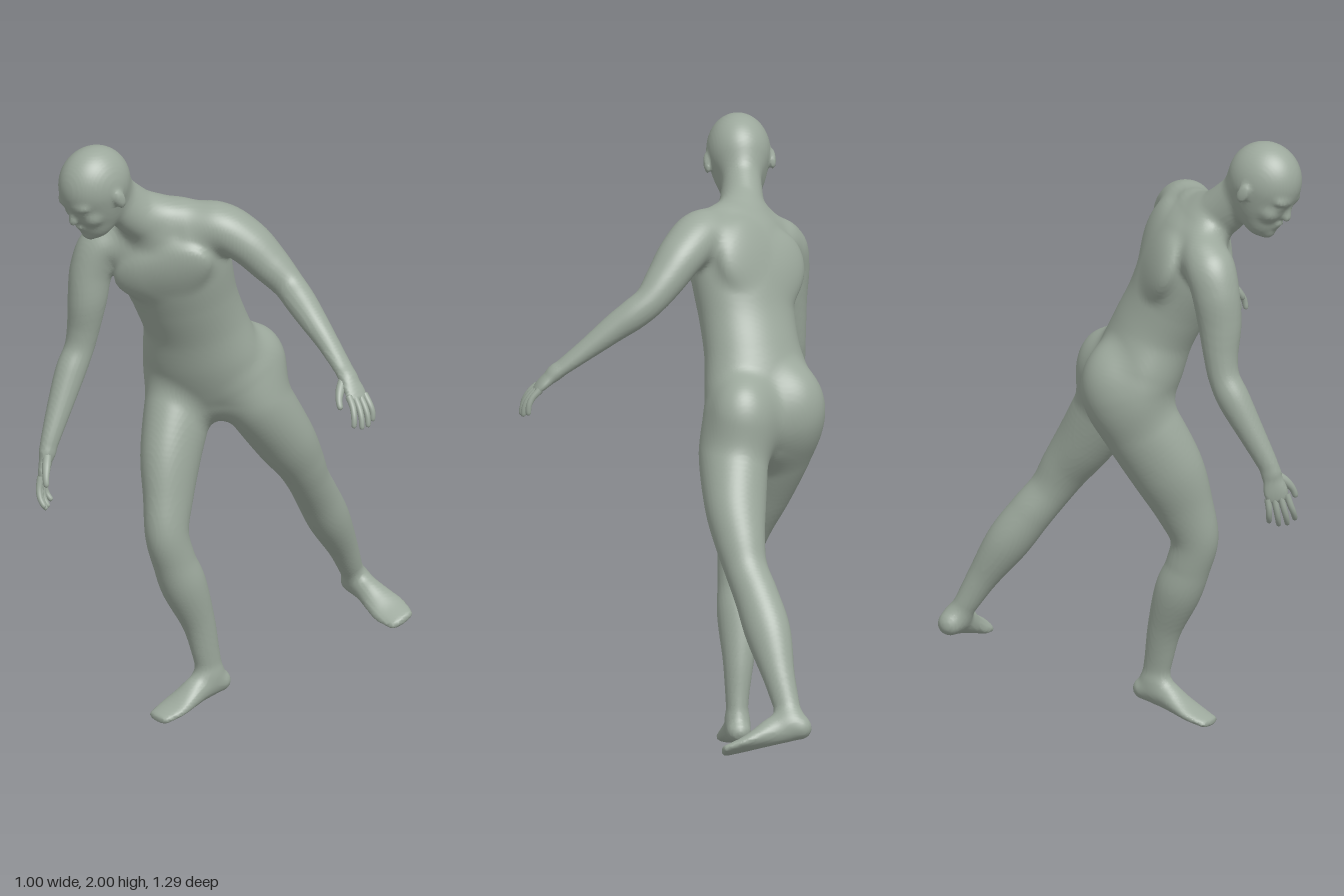
import * as THREE from 'three';

const V = (a) => new THREE.Vector3(...a);
const skin = new THREE.MeshStandardMaterial({ color: 0x9ca89c });
skin.name = 'sage clay';

// Rings along sections [x, y, z, rx, rz]; the x radius follows a side direction turning from sideA to sideB
function rings(sections, sideA, sideB, steps, at) {
  const curve = (f) => new THREE.CatmullRomCurve3(sections.map(f), false, 'catmullrom', 0.5);
  const path = curve((s) => V(s.slice(0, 3)).applyMatrix4(at.matrix));
  const radii = curve((s) => V([s[3], s[4], 0]));
  const n = (sections.length - 1) * steps;
  return Array.from({ length: n + 1 }, (_, i) => {
    const t = i / n, r = radii.getPoint(t), T = path.getTangent(t);
    const X = V(sideA).lerp(V(sideB), t).transformDirection(at.matrix);
    X.addScaledVector(T, -X.dot(T)).normalize();
    return { c: path.getPoint(t), T, X, Z: new THREE.Vector3().crossVectors(T, X), rx: r.x, rz: r.y };
  });
}

// Group whose +z points forward and whose +y leans towards up
function frame(name, origin, forward, up) {
  const g = new THREE.Group();
  g.name = name;
  const z = V(forward).normalize();
  const x = new THREE.Vector3().crossVectors(V(up), z).normalize();
  const y = new THREE.Vector3().crossVectors(z, x);
  g.quaternion.setFromRotationMatrix(new THREE.Matrix4().makeBasis(x, y, z));
  g.position.set(...origin);
  g.updateMatrix();
  return g;
}
const world = frame('world', [0, 0, 0], [0, 0, 1], [0, 1, 0]);

// Body volumes: a chain of elliptical segments, or one ellipsoid; k is the blend width
function limb(sections, sideA, sideB = sideA, k = 0.03, at = world) {
  const rs = rings(sections, sideA, sideB, 10, at);
  const prims = rs.slice(1).map((b, i) => {
    const a = rs[i];
    return { a: a.c, b: b.c, X: a.X, Z: a.Z, T: a.T, ra: [a.rx, a.rz, Math.min(a.rx, a.rz)], rb: [b.rx, b.rz, Math.min(b.rx, b.rz)] };
  });
  return { prims, k };
}
function blob(p, [rx, ry, rz], k = 0.03, at = world) {
  const [X, Y, Z] = [0, 1, 2].map((i) => new THREE.Vector3().setFromMatrixColumn(at.matrix, i));
  const c = V(p).applyMatrix4(at.matrix), r = [rx, rz, ry];
  return { prims: [{ a: c, b: c, X, Z, T: Y, ra: r, rb: r }], k };
}

// Blends the volumes on a grid and wraps them in one smooth skin
function wrap(name, parts) {
  const h = 0.008, lo = [-0.57, -0.04, -0.7], dim = [137, 262, 176];
  const S = [1, dim[0], dim[0] * dim[1]], size = S[2] * dim[2];
  const field = new Float32Array(size).fill(1), own = new Float32Array(size);
  for (const { prims, k } of parts) {
    own.fill(1);
    for (const { a, b, X, Z, T, ra, rb } of prims) {
      const ab = b.clone().sub(a), l2 = ab.lengthSq() || 1, pad = Math.max(...ra, ...rb) + k + 3 * h;
      const A = a.toArray(), B = b.toArray();
      const from = A.map((v, i) => Math.max(0, Math.floor((Math.min(v, B[i]) - pad - lo[i]) / h)));
      const to = A.map((v, i) => Math.min(dim[i] - 1, Math.ceil((Math.max(v, B[i]) + pad - lo[i]) / h)));
      for (let z = from[2]; z <= to[2]; z++) for (let y = from[1]; y <= to[1]; y++) for (let x = from[0]; x <= to[0]; x++) {
        let px = lo[0] + x * h - a.x, py = lo[1] + y * h - a.y, pz = lo[2] + z * h - a.z;
        const t = Math.min(1, Math.max(0, (px * ab.x + py * ab.y + pz * ab.z) / l2));
        px -= ab.x * t; py -= ab.y * t; pz -= ab.z * t;
        const r0 = ra[0] + (rb[0] - ra[0]) * t, r1 = ra[1] + (rb[1] - ra[1]) * t, r2 = ra[2] + (rb[2] - ra[2]) * t;
        const u = (px * X.x + py * X.y + pz * X.z) / r0 + 1e-6;
        const v = (px * Z.x + py * Z.y + pz * Z.z) / r1, w = (px * T.x + py * T.y + pz * T.z) / r2;
        const k0 = Math.sqrt(u * u + v * v + w * w);
        const k1 = Math.sqrt((u / r0) ** 2 + (v / r1) ** 2 + (w / r2) ** 2);
        const i = x + y * S[1] + z * S[2];
        own[i] = Math.min(own[i], (k0 * (k0 - 1)) / k1);
      }
    }
    for (let i = 0; i < size; i++) {
      if (own[i] === 1) continue;
      const m = Math.max(k - Math.abs(own[i] - field[i]), 0);
      field[i] = Math.min(own[i], field[i]) - (m * m) / (4 * k);
    }
  }
  // one vertex per crossed cell, one quad per crossed grid edge
  const id = new Int32Array(size).fill(-1), pos = [], idx = [];
  for (let z = 0; z < dim[2] - 1; z++) for (let y = 0; y < dim[1] - 1; y++) for (let x = 0; x < dim[0] - 1; x++) {
    const v = x + y * S[1] + z * S[2], sum = [0, 0, 0];
    if (field[v] === 1) continue;
    let n = 0;
    for (let c = 0; c < 8; c++) for (let a = 0; a < 3; a++) {
      if ((c >> a) & 1) continue;
      const bit = [c & 1, (c >> 1) & 1, c >> 2];
      const p = v + bit[0] + bit[1] * S[1] + bit[2] * S[2], f0 = field[p], f1 = field[p + S[a]];
      if (f0 < 0 === f1 < 0) continue;
      bit[a] += f0 / (f0 - f1);
      bit.forEach((q, i) => { sum[i] += q; });
      n++;
    }
    if (!n) continue;
    id[v] = pos.length / 3;
    [x, y, z].forEach((q, i) => pos.push(lo[i] + (q + sum[i] / n) * h));
  }
  for (let v = S[2] + S[1] + 1; v < size - S[2]; v++) for (let a = 0; a < 3; a++) {
    if (field[v] < 0 === field[v + S[a]] < 0) continue;
    const b = S[(a + 1) % 3], c = S[(a + 2) % 3];
    const q = [id[v], id[v - b], id[v - b - c], id[v - c]];
    if (field[v] >= 0) q.reverse();
    idx.push(q[0], q[1], q[2], q[0], q[2], q[3]);
  }
  return mesh(name, pos, idx);
}

function mesh(name, pos, idx) {
  const g = new THREE.BufferGeometry();
  g.setAttribute('position', new THREE.Float32BufferAttribute(pos, 3));
  g.setIndex(idx);
  g.computeVertexNormals();
  const m = new THREE.Mesh(g, skin);
  m.name = name;
  return m;
}

// Thin tapered tube that runs to a point, for fingers
function finger(name, sections) {
  const seg = 12, rs = rings(sections, [1, 0, 0], [1, 0, 0], 4, world), pos = [], idx = [];
  rs.forEach(({ c, X, Z, rx, rz }, i) => {
    for (let j = 0; j < seg; j++) {
      const a = (j / seg) * Math.PI * 2, b = i * seg, n = (j + 1) % seg;
      pos.push(...c.clone().addScaledVector(X, Math.cos(a) * rx).addScaledVector(Z, Math.sin(a) * rz).toArray());
      if (i < rs.length - 1) idx.push(b + j, b + n, b + seg + j, b + n, b + seg + n, b + seg + j);
    }
  });
  return mesh(name, pos, idx);
}

// Fingers in a hand frame: fingers along +z, back of hand +y, thumb on side s
function addFingers(g, s) {
  [0.94, 1.05, 1, 0.8].forEach((k, i) => {
    const x = s * (1.5 - i) * 0.021;
    g.add(finger('finger', [[x, 0, 0.075, 0.011, 0.012], [x * 1.1, -0.002, 0.085 + 0.03 * k, 0.0105, 0.0105],
      [x * 1.25, -0.012, 0.085 + 0.062 * k, 0.0095, 0.0095], [x * 1.3, -0.03, 0.085 + 0.086 * k, 0.008, 0.008],
      [x * 1.3, -0.035, 0.085 + 0.091 * k, 0, 0]]));
  });
  g.add(finger('thumb', [[s * 0.016, -0.006, 0.01, 0.016, 0.014], [s * 0.04, -0.014, 0.04, 0.015, 0.014],
    [s * 0.056, -0.022, 0.07, 0.011, 0.011], [s * 0.06, -0.029, 0.095, 0.009, 0.009], [s * 0.06, -0.031, 0.102, 0, 0]]));
  return g;
}
const palm = (at) => limb([[0, 0, 0, 0.028, 0.021], [0, 0, 0.025, 0.033, 0.021], [0, 0, 0.06, 0.04, 0.017],
  [0, -0.001, 0.085, 0.037, 0.012]], [1, 0, 0], [1, 0, 0], 0.015, at);

// Foot from heel to toes along local +z, sole on y = 0
const foot = (at) => limb([[0, 0.037, 0.028, 0.038, 0.036], [0, 0.05, 0.065, 0.041, 0.049], [0, 0.046, 0.11, 0.042, 0.045],
  [0, 0.033, 0.165, 0.051, 0.032], [0, 0.023, 0.215, 0.057, 0.022], [0, 0.016, 0.274, 0.047, 0.015]], [1, 0, 0], [1, 0, 0], 0.03, at);

// Head; local y = 0 lies just below the chin
function head() {
  const at = frame('head', [-0.3, 1.699, 0.412], [-0.1, -0.45, 0.88], [0, 0.89, 0.45]);
  const part = (p, r, k = 0.015) => blob(p, r, k, at);
  const list = [part([0, 0.2, 0], [0.102, 0.122, 0.122], 0.03), part([0, 0.125, 0.03], [0.078, 0.09, 0.08], 0.03),
    part([0, 0.072, 0.06], [0.05, 0.045, 0.046], 0.03), part([0, 0.055, 0.09], [0.024, 0.02, 0.02]),
    limb([[0, 0.18, 0.106, 0.008, 0.009], [0, 0.155, 0.117, 0.01, 0.012], [0, 0.134, 0.124, 0.015, 0.014]],
      [1, 0, 0], [1, 0, 0], 0.012, at),
    part([0, 0.102, 0.109], [0.024, 0.008, 0.012], 0.008), part([0, 0.087, 0.106], [0.021, 0.008, 0.012], 0.008)];
  for (const s of [-1, 1]) {
    list.push(part([s * 0.036, 0.19, 0.1], [0.032, 0.011, 0.016], 0.02), part([s * 0.047, 0.135, 0.083], [0.026, 0.022, 0.022], 0.025),
      part([s * 0.036, 0.165, 0.095], [0.02, 0.011, 0.014], 0.012), part([s * 0.104, 0.165, -0.008], [0.012, 0.034, 0.02], 0.01));
  }
  return list;
}

export function createModel() {
  const hips = [0.89, 0, -0.456], chest = [0.8, 0.24, -0.55];
  const parts = [];

  // Torso and neck
  parts.push(limb([[-0.25, 1.69, 0.245, 0.14, 0.08], [-0.25, 1.63, 0.228, 0.185, 0.115], [-0.25, 1.55, 0.205, 0.187, 0.135],
    [-0.255, 1.42, 0.152, 0.17, 0.13], [-0.262, 1.31, 0.1, 0.169, 0.131], [-0.273, 1.2, 0.06, 0.193, 0.137],
    [-0.278, 1.12, 0.035, 0.203, 0.128], [-0.268, 1.06, 0.025, 0.165, 0.105]], chest, hips));
  parts.push(limb([[-0.295, 1.83, 0.43, 0.06, 0.065], [-0.283, 1.765, 0.37, 0.066, 0.076],
    [-0.265, 1.7, 0.295, 0.08, 0.08], [-0.25, 1.65, 0.25, 0.1, 0.075]], [0.98, 0.02, 0.1], chest));
  for (const end of [[-0.39, 1.63, 0.325], [-0.13, 1.7, 0.165]]) {
    parts.push(limb([[-0.26, 1.725, 0.295, 0.055, 0.055], [...end, 0.06, 0.06]], [0.5, 0, 0.85]));
  }
  const front = frame('chest', [-0.245, 1.555, 0.22], [0.52, -0.3, 0.76], [-0.2, 0.9, 0.4]);
  const seat = frame('seat', [-0.282, 1.135, -0.04], [0.456, 0, 0.89], [0, 1, 0]);
  for (const s of [-1, 1]) {
    parts.push(blob([s * 0.08, 0.025, 0.085], [0.085, 0.062, 0.03], 0.05, front));
    parts.push(blob([s * 0.1, 0.015, -0.1], [0.08, 0.1, 0.038], 0.04, front));
    parts.push(blob([s * 0.1, s < 0 ? 0.005 : -0.005, 0], [0.108, 0.14, 0.1], 0.05, seat));
  }
  parts.push(...head());

  // Arms
  parts.push(limb([
    [-0.36, 1.61, 0.32, 0.07, 0.065], [-0.412, 1.595, 0.36, 0.08, 0.074], [-0.434, 1.52, 0.39, 0.076, 0.068],
    [-0.437, 1.42, 0.405, 0.069, 0.062], [-0.447, 1.32, 0.413, 0.055, 0.052], [-0.453, 1.25, 0.427, 0.05, 0.047],
    [-0.455, 1.18, 0.462, 0.052, 0.048], [-0.447, 1.08, 0.515, 0.043, 0.04], [-0.437, 0.98, 0.567, 0.034, 0.029],
    [-0.434, 0.945, 0.581, 0.031, 0.024]], [0.5, 0, 0.85], [0.2, 0, 1]));
  parts.push(limb([
    [-0.16, 1.675, 0.19, 0.075, 0.07], [-0.1, 1.69, 0.145, 0.083, 0.076], [-0.03, 1.642, 0.09, 0.078, 0.071],
    [0.03, 1.575, 0.05, 0.065, 0.062], [0.085, 1.515, 0.022, 0.05, 0.052], [0.14, 1.472, 0.02, 0.049, 0.05],
    [0.2, 1.43, 0.025, 0.045, 0.044], [0.28, 1.37, 0.03, 0.037, 0.034], [0.36, 1.31, 0.04, 0.034, 0.025],
    [0.39, 1.288, 0.045, 0.031, 0.022]], [0.5, 0, 0.85], [0.1, 0, 1]));
  const rightHand = frame('rightHand', [-0.434, 0.942, 0.582], [0.01, -0.96, 0.25], [-0.84, 0, 0.54]);
  const leftHand = frame('leftHand', [0.385, 1.292, 0.045], [0.73, -0.67, 0.12], [0.7, 0.7, 0]);
  parts.push(palm(rightHand), palm(leftHand));

  // Legs
  parts.push(limb([
    [-0.36, 1.1, 0.055, 0.095, 0.105], [-0.347, 1.03, 0.085, 0.107, 0.125], [-0.305, 0.87, 0.165, 0.093, 0.118],
    [-0.27, 0.74, 0.21, 0.075, 0.095], [-0.247, 0.63, 0.237, 0.066, 0.077], [-0.24, 0.53, 0.212, 0.066, 0.072],
    [-0.235, 0.44, 0.175, 0.07, 0.075], [-0.222, 0.31, 0.125, 0.05, 0.056], [-0.213, 0.2, 0.1, 0.038, 0.047],
    [-0.21, 0.14, 0.088, 0.034, 0.045]], hips, [1, 0, 0.14], 0.04));
  parts.push(limb([
    [-0.185, 1.1, -0.035, 0.1, 0.105], [-0.165, 1.03, -0.075, 0.108, 0.115], [-0.15, 0.88, -0.175, 0.1, 0.095],
    [-0.15, 0.78, -0.245, 0.08, 0.08], [-0.16, 0.7, -0.295, 0.069, 0.069], [-0.182, 0.62, -0.355, 0.069, 0.071],
    [-0.204, 0.52, -0.425, 0.068, 0.073], [-0.222, 0.4, -0.502, 0.049, 0.052], [-0.238, 0.31, -0.553, 0.038, 0.042],
    [-0.25, 0.265, -0.582, 0.034, 0.036]], hips, [0.1, 0, -1], 0.04));
  parts.push(foot(frame('rightFoot', [-0.203, 0.062, 0.012], [-0.035, -0.066, 0.285], [0, 1, 0.2])));
  parts.push(foot(frame('leftFoot', [-0.306, 0.215, -0.614], [0.285, -0.055, 0.025], [0, 0.92, 0.4])));

  const figure = new THREE.Group();
  figure.name = 'figure';
  figure.add(wrap('body', parts), addFingers(rightHand, 1), addFingers(leftHand, -1));
  return figure;
}
